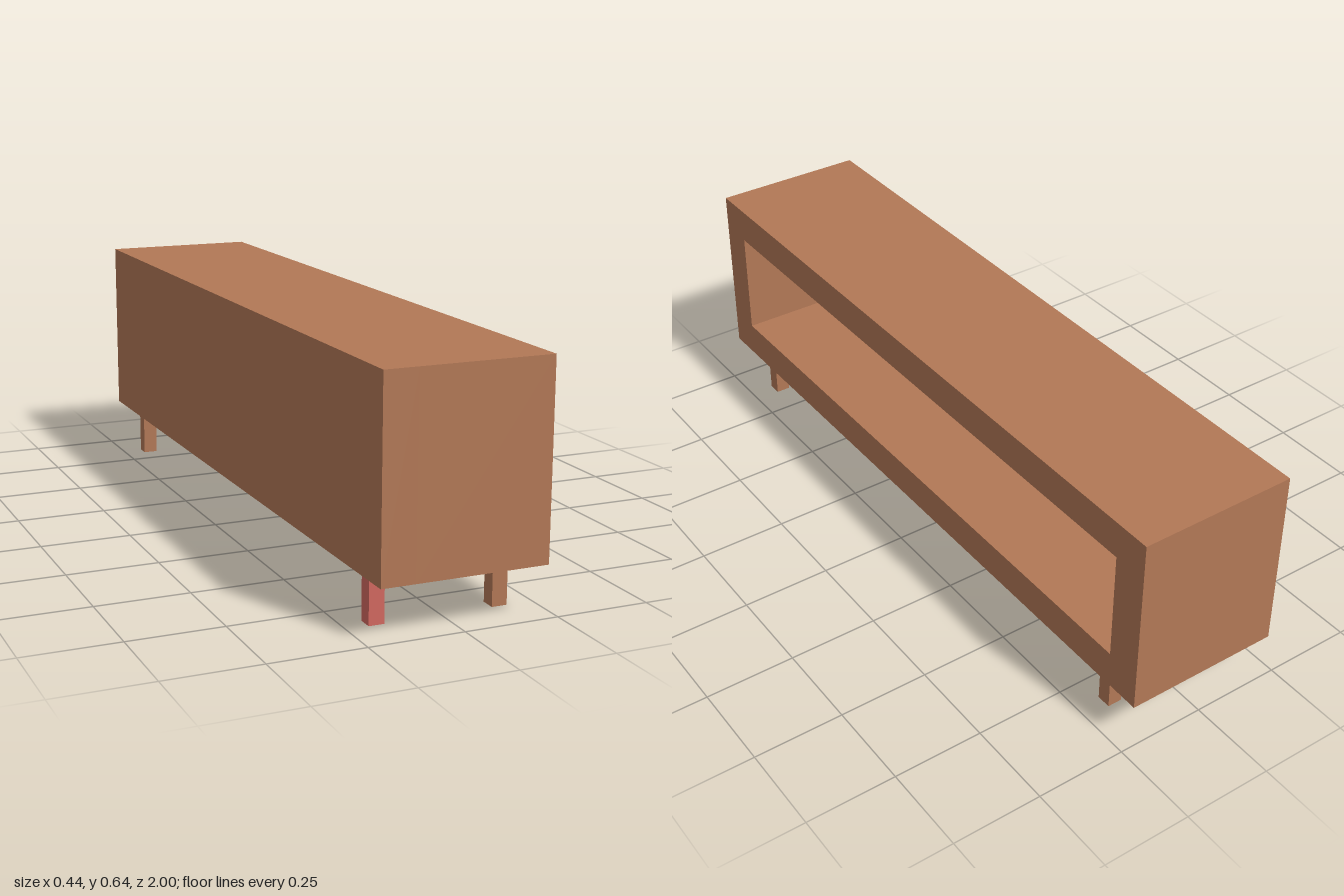
import * as THREE from 'three';

const wood = new THREE.MeshStandardMaterial({ color: 0xb27856 });
const red = new THREE.MeshStandardMaterial({ color: 0xd1685f });

const HALF_X = 0.22, BOTTOM = 0.135, TOP = 0.643;
const BACK_THICKNESS = 0.09, FRAME = 0.1;

function rectangle(PathType, halfWidth, bottom, top) {
  return new PathType([
    new THREE.Vector2(-halfWidth, bottom),
    new THREE.Vector2(halfWidth, bottom),
    new THREE.Vector2(halfWidth, top),
    new THREE.Vector2(-halfWidth, top),
  ]);
}

function addMesh(parent, name, geometry, material, x, y, z) {
  const mesh = new THREE.Mesh(geometry, material);
  mesh.name = name;
  mesh.position.set(x, y, z);
  parent.add(mesh);
}

export function createModel() {
  const model = new THREE.Group();
  model.name = 'lowCabinet';

  // Cabinet frame, open towards +x
  const outline = rectangle(THREE.Shape, 1, BOTTOM, TOP);
  outline.holes.push(rectangle(THREE.Path, 1 - FRAME, BOTTOM + FRAME, TOP - FRAME));
  const frame = new THREE.ExtrudeGeometry(outline, {
    depth: 2 * HALF_X - BACK_THICKNESS,
    bevelEnabled: false,
  });
  frame.rotateY(Math.PI / 2);
  addMesh(model, 'cabinetFrame', frame, wood, -HALF_X + BACK_THICKNESS, 0, 0);

  // Panel closing the cabinet on the -x side
  const panel = new THREE.BoxGeometry(BACK_THICKNESS, TOP - BOTTOM, 2);
  addMesh(model, 'backPanel', panel, wood,
    -HALF_X + BACK_THICKNESS / 2, (TOP + BOTTOM) / 2, 0);

  // Four square legs, one of them red
  const leg = new THREE.BoxGeometry(0.041, BOTTOM, 0.04);
  for (const [xName, x] of [['Right', -0.1715], ['Left', 0.1585]]) {
    for (const [zName, z] of [['front', 0.86], ['back', -0.84]]) {
      const material = x < 0 && z > 0 ? red : wood;
      addMesh(model, zName + xName + 'Leg', leg, material, x, BOTTOM / 2, z);
    }
  }
  return model;
}
